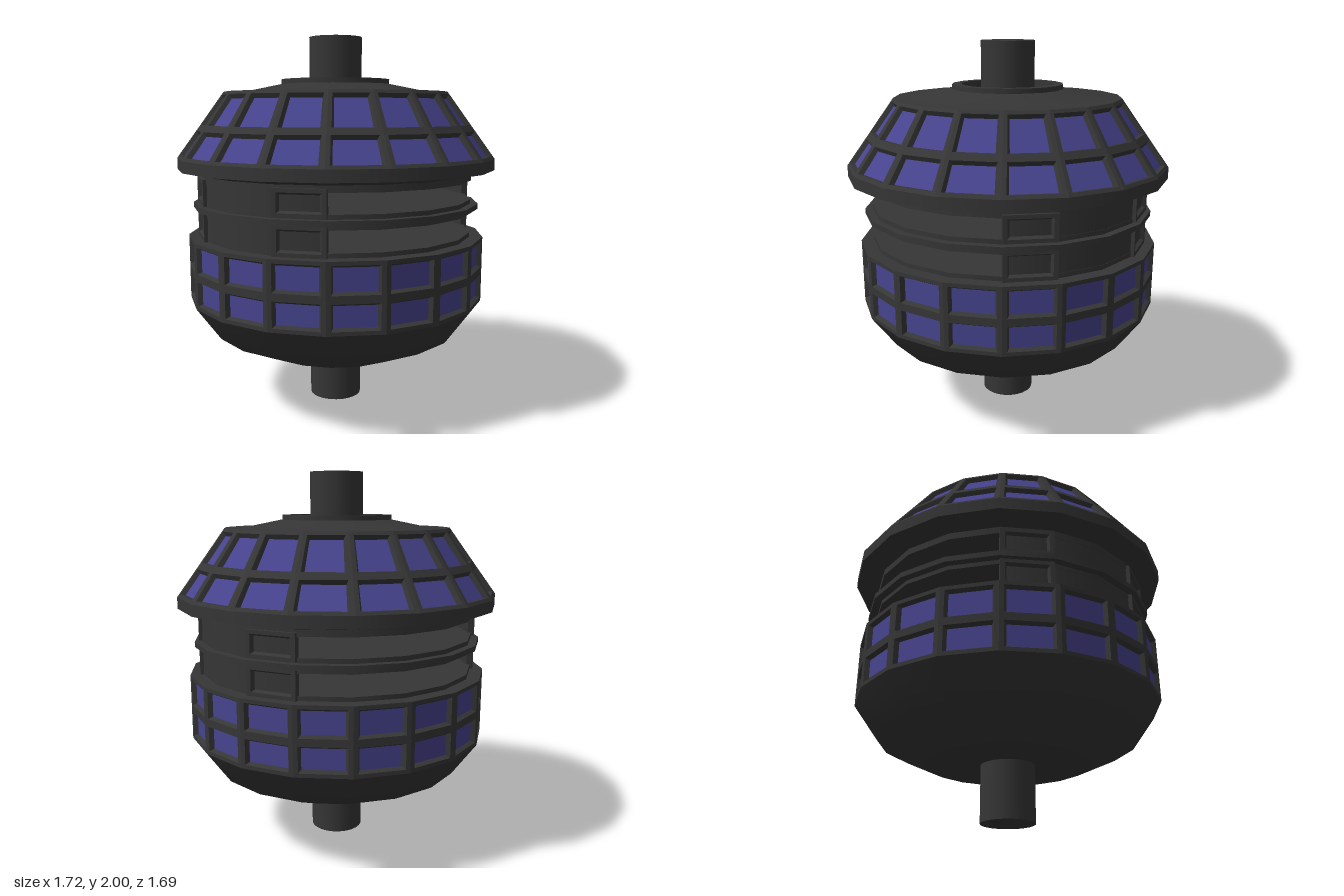
import * as THREE from 'three';
import { mergeGeometries } from 'three/addons/utils/BufferGeometryUtils.js';

const SIDES = 18;
const STEP = (Math.PI * 2) / SIDES;

export function createModel() {
  const model = new THREE.Group();
  model.name = 'windowedSpinner';
  const hull = new THREE.MeshStandardMaterial({ color: 0x363636 });
  hull.name = 'charcoal hull';
  const glass = new THREE.MeshStandardMaterial({ color: 0x47448f });
  glass.name = 'indigo glass';

  const add = (name, geometry, material, parent = model) => {
    const mesh = new THREE.Mesh(geometry, material);
    mesh.name = name;
    parent.add(mesh);
    return mesh;
  };

  // Turned part: each run of [radius, y] points is smooth, with hard edges between runs
  const turned = (name, ...runs) =>
    add(name, mergeGeometries(runs.map((run) => new THREE.LatheGeometry(
      run.map(([r, y]) => new THREE.Vector2(r, y)), SIDES, Math.PI / 2))), hull);

  // Flat disc with a straight rim
  const disc = (name, r, y0, y1) =>
    turned(name, [[0, y0], [r, y0]], [[r, y0], [r, y1]], [[r, y1], [0, y1]]);

  const point = (a, r, y) => new THREE.Vector3(Math.cos(a) * r, y, Math.sin(a) * r);

  const quad = (out, a, b, c, d) => {
    for (const p of [a, b, c, a, c, d]) out.push(p.x, p.y, p.z);
  };

  const toGeometry = (positions) => {
    const g = new THREE.BufferGeometry();
    g.setAttribute('position', new THREE.Float32BufferAttribute(positions, 3));
    g.computeVertexNormals();
    return g;
  };

  // Row of framed, recessed windows on the chosen facets
  const windowRow = (name, facets, [r0, y0], [r1, y1], back = 0) => {
    const frame = [], panes = [];
    for (const i of facets) {
      const a = i * STEP, b = a + STEP;
      // corners anticlockwise as seen from outside
      const c = [point(b, r0, y0), point(a, r0, y0), point(a, r1, y1), point(b, r1, y1)];
      const across = c[1].clone().sub(c[0]);
      const up = c[3].clone().sub(c[0]);
      const normal = across.clone().cross(up).normalize();
      const inset = (side, edge, depth) => {
        const u = side / across.length(), v = edge / up.length();
        return [[u, v], [1 - u, v], [1 - u, 1 - v], [u, 1 - v]].map(([s, t]) =>
          c[0].clone().lerp(c[1], s).lerp(c[3].clone().lerp(c[2], s), t)
            .addScaledVector(normal, -depth));
      };
      const lip = inset(0.023, 0.02, 0);
      const pane = inset(0.036, 0.032, 0.022);
      for (let k = 0; k < 4; k++) {
        const n = (k + 1) % 4;
        quad(frame, c[k], c[n], lip[n], lip[k]);
        quad(frame, lip[k], lip[n], pane[n], pane[k]);
      }
      quad(panes, ...pane);
      // sides and back close a free-standing panel
      if (back) {
        const d = c.map((p) => p.clone().addScaledVector(normal, -back));
        for (let k = 0; k < 4; k++) quad(frame, c[(k + 1) % 4], c[k], d[k], d[(k + 1) % 4]);
        quad(frame, d[3], d[2], d[1], d[0]);
      }
    }
    const group = new THREE.Group();
    group.name = name;
    add('windowFrames', toGeometry(frame), hull, group);
    add('windowPanes', toGeometry(panes), glass, group);
    model.add(group);
  };

  const all = Array.from({ length: SIDES }, (_, i) => i);

  // Shafts
  for (const [name, y0, y1] of [['lowerShaft', 0, 0.4], ['upperShaft', 1.65, 2]]) {
    const shaft = add(name, new THREE.CylinderGeometry(0.142, 0.142, y1 - y0, 24), hull);
    shaft.position.y = (y0 + y1) / 2;
  }

  // Lower bowl and windowed drum
  turned('lowerBowl', [[0, 0.296], [0.43, 0.296]], [[0.43, 0.296], [0.68, 0.41], [0.81, 0.59]]);
  windowRow('drumLowerWindows', all, [0.81, 0.59], [0.81, 0.76]);
  windowRow('drumUpperWindows', all, [0.81, 0.76], [0.81, 0.94]);
  turned('drumTop', [[0.81, 0.94], [0, 0.94]]);

  // Open deck: floor, middle shelf with a rim, ceiling
  disc('deckFloor', 0.74, 0.93, 0.963);
  disc('middleShelf', 0.74, 1.07, 1.143);
  disc('shelfRim', 0.78, 1.092, 1.12);
  disc('deckCeiling', 0.74, 1.243, 1.28);

  // Curved deck walls on both sides, with a framed window at each end
  for (const [name, middle] of [['leftDeckWall', 0], ['rightDeckWall', 9]]) {
    const section = [[0.72, 1.26], [0.72, 0.95], [0.738, 0.95], [0.738, 1.26]];
    const faces = [[0, 1], [2, 3]].map((pair) => new THREE.LatheGeometry(
      pair.map((k) => new THREE.Vector2(...section[k])),
      4, Math.PI / 2 - (middle + 2) * STEP, 4 * STEP));
    add(name, mergeGeometries(faces), hull);
    const ends = [middle - 2, middle + 1];
    windowRow(name + 'LowerWindows', ends, [0.757, 0.94], [0.757, 1.09], 0.036);
    windowRow(name + 'UpperWindows', ends, [0.757, 1.125], [0.757, 1.262], 0.036);
  }

  // Upper dome: underside, rim, sloping windows and cap
  turned('domeRim', [[0, 1.27], [0.7, 1.27]], [[0.7, 1.27], [0.86, 1.3]], [[0.86, 1.3], [0.86, 1.36]]);
  windowRow('domeLowerWindows', all, [0.86, 1.36], [0.743, 1.52]);
  windowRow('domeUpperWindows', all, [0.743, 1.52], [0.605, 1.71]);
  turned('domeCap', [[0.605, 1.71], [0.49, 1.712], [0.29, 1.753]]);

  // Raised collar around the upper shaft
  turned('shaftCollar', [[0.295, 1.745], [0.295, 1.777]], [[0.295, 1.777], [0.247, 1.777]],
    [[0.247, 1.777], [0.247, 1.735]], [[0.247, 1.735], [0.1, 1.735]]);

  return model;
}
